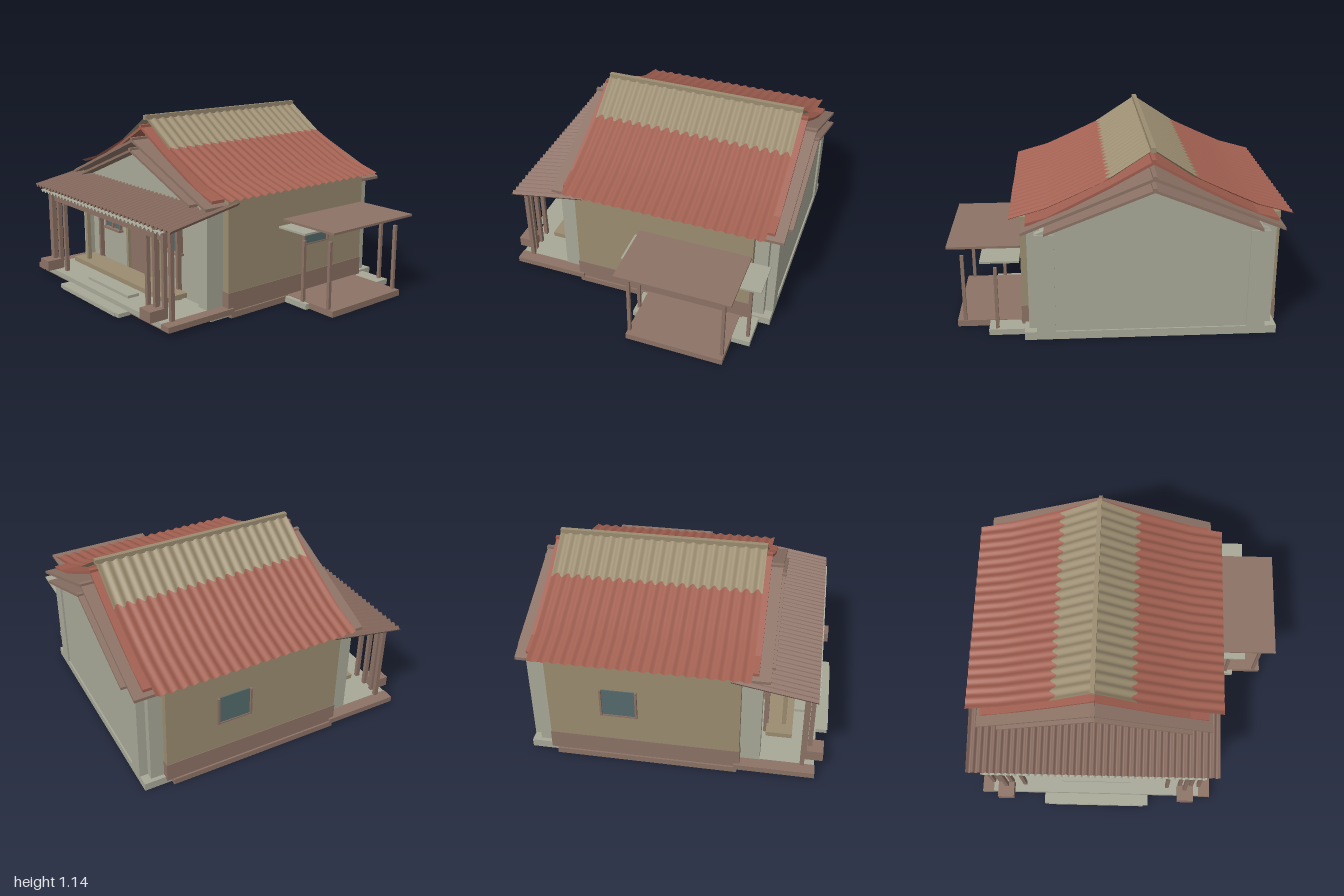
import * as THREE from 'three';

const C = -0.183; // house axis in x

function mat(name, color, side = THREE.FrontSide) {
  const m = new THREE.MeshStandardMaterial({ color, side });
  m.name = name;
  return m;
}

export function createModel() {
  const g = new THREE.Group();
  g.name = 'house';
  const D = THREE.DoubleSide;
  const brown = mat('brown wood', 0x8c7265);
  const grey = mat('pale plaster', 0xa8a898);
  const tan = mat('tan', 0x9a8c70);
  const red = mat('red tile', 0xa05f50, D);
  const tanRoof = mat('tan tile', 0x9a8c70, D);
  const brownRoof = mat('brown sheet', 0x876a5e, D);
  const greyRoof = mat('grey sheet', 0xa8a898, D);
  const glass = mat('window glass', 0x546a6c);
  const dark = mat('dark metal', 0x4a3c36);

  function add(name, geo, m) {
    const mesh = new THREE.Mesh(geo, m);
    mesh.name = name;
    g.add(mesh);
    return mesh;
  }
  function box(name, m, x0, x1, y0, y1, z0, z1) {
    const b = new THREE.BoxGeometry(x1 - x0, y1 - y0, z1 - z0);
    return add(name, b.translate((x0 + x1) / 2, (y0 + y1) / 2, (z0 + z1) / 2), m);
  }
  // mirrored pair, given by distance from the house axis
  function pair(name, m, a, b, y0, y1, z0, z1) {
    box(name + 'Left', m, C + a, C + b, y0, y1, z0, z1);
    box(name + 'Right', m, C - b, C - a, y0, y1, z0, z1);
  }
  // prism from [offset, y] points, run along z
  function prism(name, m, pts, z0, z1) {
    const s = new THREE.Shape(pts.map(p => new THREE.Vector2(C + p[0], p[1])));
    const geo = new THREE.ExtrudeGeometry(s, { depth: z1 - z0, bevelEnabled: false });
    return add(name, geo.translate(0, 0, z0), m);
  }
  // symmetrical roof slab following a half profile
  function chevron(name, m, half, t, z0, z1) {
    const top = [...half.slice(1).reverse().map(p => [-p[0], p[1]]), ...half];
    const low = top.map(p => [p[0], p[1] - t]).reverse();
    prism(name, m, [...top, ...low], z0, z1);
  }
  // corrugated sheet: point(u, row, wave) gives the position
  function sheet(name, m, waves, rows, point) {
    const cols = waves * 6, pos = [], idx = [];
    for (let r = 0; r < rows; r++)
      for (let i = 0; i <= cols; i++)
        pos.push(...point(i / cols, r, Math.cos((i / 6) * Math.PI * 2)));
    for (let r = 0; r < rows - 1; r++)
      for (let i = 0; i < cols; i++) {
        const a = r * (cols + 1) + i, b = a + cols + 1;
        idx.push(a, b, a + 1, b, b + 1, a + 1);
      }
    const geo = new THREE.BufferGeometry();
    geo.setAttribute('position', new THREE.Float32BufferAttribute(pos, 3));
    geo.setIndex(idx);
    geo.computeVertexNormals();
    add(name, geo, m);
  }

  // foundation and porch floor
  box('foundation', grey, C - 0.74, C + 0.74, 0, 0.05, -0.87, 0.53);
  pair('sidePlinth', brown, 0.72, 0.772, 0, 0.037, -0.7, 0.4);
  box('porchFloor', grey, C - 0.7, C + 0.7, 0.028, 0.06, 0.38, 0.855);
  pair('porchFloorEdge', brown, 0.7, 0.775, 0.025, 0.06, 0.38, 0.86);
  box('porchUnderside', brown, C - 0.7, C + 0.7, 0.022, 0.028, 0.38, 0.855);
  box('lowerStep', grey, C - 0.35, C + 0.355, 0.005, 0.03, 0.84, 0.925);
  box('lowerStepNose', grey, C - 0.32, C + 0.32, 0.005, 0.028, 0.925, 0.93);
  box('upperStep', grey, C - 0.237, C + 0.237, 0.06, 0.078, 0.7, 0.78);
  box('porchPlank', tan, C - 0.535, C + 0.535, 0.1, 0.13, 0.55, 0.71);

  // gabled body
  prism('gabledBody', grey, [[-0.67, 0.05], [0.67, 0.05], [0.67, 0.66], [0, 0.925], [-0.67, 0.66]], -0.86, 0.5);
  pair('frontCornerColumn', grey, 0.62, 0.705, 0.05, 0.68, 0.38, 0.53);
  pair('backCornerColumn', grey, 0.64, 0.715, 0.05, 0.71, -0.82, -0.72);
  pair('backPilaster', grey, 0.56, 0.67, 0.05, 0.66, -0.872, -0.85);
  pair('sideWall', tan, 0.66, 0.757, 0.037, 0.72, -0.735, 0.41);
  pair('sideDado', brown, 0.7, 0.761, 0.037, 0.155, -0.738, 0.414);

  // side windows
  pair('sideGlass', glass, 0.755, 0.763, 0.345, 0.525, -0.41, -0.2);
  for (const z of [-0.415, -0.205])
    pair('sideWindowFrame', brown, 0.755, 0.775, 0.34, 0.527, z, z + 0.012);
  pair('sideWindowSill', brown, 0.755, 0.768, 0.336, 0.345, -0.415, -0.193);

  // front windows and door
  pair('frontGlass', glass, 0.255, 0.425, 0.34, 0.53, 0.498, 0.507);
  for (const a of [0.25, 0.335, 0.42])
    pair('frontWindowBar', brown, a, a + 0.01, 0.335, 0.535, 0.5, 0.522);
  pair('frontWindowSill', brown, 0.24, 0.44, 0.328, 0.342, 0.5, 0.535);
  pair('frontWindowHead', brown, 0.24, 0.44, 0.53, 0.542, 0.5, 0.53);
  box('door', brown, C - 0.125, C + 0.125, 0.06, 0.525, 0.5, 0.515);
  pair('doorJamb', tan, 0.128, 0.15, 0.06, 0.53, 0.5, 0.535);
  box('doorLintel', brown, C - 0.155, C + 0.155, 0.525, 0.545, 0.5, 0.54);
  add('doorKnob', new THREE.SphereGeometry(0.007, 10, 8).translate(C + 0.085, 0.29, 0.52), dark);
  pair('wallPost', brown, 0.435, 0.455, 0.05, 0.545, 0.53, 0.56);

  // porch posts on footings, and beams
  pair('postFooting', brown, 0.553, 0.66, 0.06, 0.127, 0.8, 0.905);
  for (const [a, z] of [[0.56, 0.8], [0.59, 0.83], [0.635, 0.8], [0.69, 0.79]])
    pair('porchPost', brown, a, a + 0.024, 0.06, 0.6, z - 0.02, z + 0.006);
  pair('innerPost', brown, 0.473, 0.497, 0.06, 0.58, 0.785, 0.81);
  pair('tanPost', tan, 0.422, 0.447, 0.1, 0.61, 0.642, 0.668);
  box('frontBeam', brown, C - 0.67, C + 0.67, 0.53, 0.575, 0.785, 0.815);
  box('middleBeam', tan, C - 0.64, C + 0.64, 0.595, 0.61, 0.642, 0.668);

  // porch roof: brown sheet over a smaller grey one
  sheet('porchRoof', brownRoof, 38, 2, (u, r, w) =>
    [-0.98 + 1.59 * u, (r ? 0.607 : 0.695) + 0.011 * w, r ? 0.845 : 0.35]);
  sheet('porchCeiling', greyRoof, 34, 2, (u, r, w) =>
    [-0.89 + 1.42 * u, (r ? 0.585 : 0.668) + 0.008 * w, r ? 0.853 : 0.4]);

  // stepped gable roofs
  chevron('lowestGableRoof', brown, [[0, 0.935], [0.615, 0.692]], 0.016, -0.93, 0.588);
  chevron('lowerGableRoof', brown, [[0, 0.997], [0.745, 0.69]], 0.018, -0.908, 0.572);
  chevron('upperGableRoof', red, [[0, 1.072], [0.25, 0.933], [0.6, 0.755], [0.72, 0.722]], 0.018, -0.845, 0.503);
  for (const [y, z0, z1, m] of [[0.943, -0.932, 0.592, brown], [1.007, -0.912, 0.576, brown], [1.082, -0.848, 0.505, red]])
    box('gableRidge', m, C - 0.012, C + 0.012, y - 0.02, y, z0, z1);

  // main roof: concave corrugated sheets, tan above and red below
  for (const s of [1, -1]) {
    const zAt = u => -0.81 + 1.28 * u;
    const seam = w => [0.247 + 0.02 * w, 0.957 - 0.011 * w];
    sheet('upperMainRoof', tanRoof, 20, 2, (u, r, w) => {
      const [d, y] = r ? seam(w) : [0, 1.122];
      return [C + s * d, y + 0.007 * w, zAt(u)];
    });
    sheet('lowerMainRoof', red, 20, 4, (u, r, w) => {
      const [d, y] = [seam(w), [0.45, 0.86], [0.605, 0.79], [0.815, 0.73]][r];
      return [C + s * d, y + 0.007 * w, zAt(u)];
    });
  }
  box('mainRidge', tan, C - 0.014, C + 0.014, 1.11, 1.14, -0.812, 0.472);

  // side terrace with two flat canopies
  box('terraceBase', grey, 0.55, 0.77, 0, 0.036, -0.8, -0.04);
  box('terraceFloor', brown, 0.57, 0.965, 0.001, 0.04, -0.685, -0.07);
  box('lowCanopy', grey, 0.575, 0.8, 0.486, 0.498, -0.85, 0.012);
  box('highCanopy', brown, 0.575, 1.0, 0.526, 0.54, -0.73, -0.02);
  for (const [x, z, h] of [[0.72, -0.065, 0.425], [0.72, -0.775, 0.425], [0.92, -0.08, 0.46], [0.92, -0.67, 0.46]])
    box('canopyPost', brown, x - 0.01, x + 0.01, 0.03, h, z - 0.01, z + 0.01);

  return g;
}
